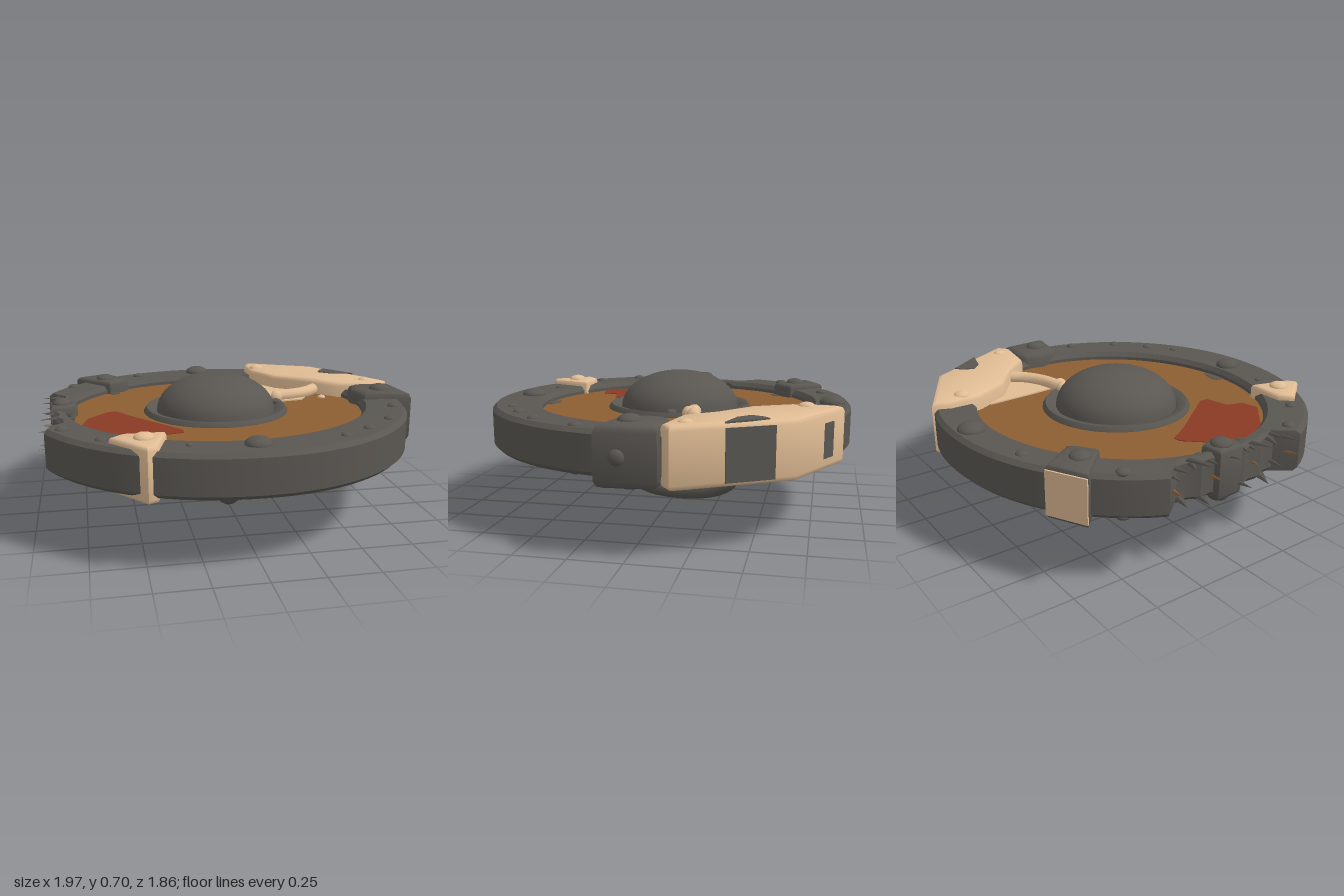
import * as THREE from 'three';
import { toCreasedNormals } from 'three/addons/utils/BufferGeometryUtils.js';

const mat = (name, color) => {
  const m = new THREE.MeshStandardMaterial({ color });
  m.name = name;
  return m;
};

const MID = 0.4425; // height of the shield's middle plane

export function createModel() {
  const iron = mat('dark iron', 0x5a5752);
  const bone = mat('pale bone', 0xe0bc94);
  const wood = mat('brown wood', 0x8c5e33);
  const red = mat('faded red paint', 0x8a3a24);
  const model = new THREE.Group();
  model.name = 'shield';

  const add = (name, geometry, material, x = 0, y = 0, z = 0) => {
    const mesh = new THREE.Mesh(geometry, material);
    mesh.name = name;
    mesh.position.set(x, y, z);
    model.add(mesh);
    return mesh;
  };

  // Extruded outline given as [x, z] points, from height y0 to y1
  const slab = (name, material, points, y0, y1, bevel = 0) => {
    const shape = new THREE.Shape(points.map(([x, z]) => new THREE.Vector2(x, -z)));
    const g = new THREE.ExtrudeGeometry(shape, {
      depth: y1 - y0 - 2 * bevel, bevelEnabled: bevel > 0, bevelSize: bevel,
      bevelThickness: bevel, bevelOffset: -bevel, bevelSegments: 2,
    });
    g.rotateX(-Math.PI / 2);
    return add(name, toCreasedNormals(g, 0.8), material, 0, y0 + bevel, 0);
  };

  // Flattened rivet on both faces of the shield
  const rivet = (name, material, x, z, r, dy) => {
    for (const s of [1, -1]) {
      add(name, new THREE.SphereGeometry(r, 14, 10), material, x, MID + s * dy, z).scale.y = 0.55;
    }
  };

  // Thin painted or laid-on plate on both faces of the board
  const plates = (name, material, points, dy) => {
    for (const s of [1, -1]) {
      const y = MID + s * dy;
      slab(name, material, points, y - 0.004, y + 0.004);
    }
  };

  // Wooden board
  const boardShape = new THREE.CylinderGeometry(1, 1, 0.11, 64);
  add('board', boardShape, wood, -0.04, MID, -0.02).scale.set(0.8, 1, 0.76);

  // Iron rim: cross-sections in a loop, swelling then broken away on the right side
  const N = 96;
  const profile = [[0, 0.37], [0, 0.515], [0.02, 0.54], [-0.02, 0.545], [1, 0.525], [1, 0.36], [-0.02, 0.34], [0.02, 0.342]];
  const P = profile.length, pos = [], idx = [];
  for (let i = 0; i < N; i++) {
    const t = (i / N) * Math.PI * 2, c = Math.cos(t), s = Math.sin(t);
    const R = c < -0.935 ? 0.885 + 0.015 * (i % 2) : 0.928 + 0.085 * Math.max(0, -c) ** 1.5;
    const inner = new THREE.Vector2(-0.05 + 0.77 * c, -0.02 + 0.712 * s);
    const outer = new THREE.Vector2(0.005 + R * c, R * s);
    const dir = outer.clone().sub(inner).normalize();
    for (const [k, y] of profile) {
      const p = k === 1 ? outer : (k < 0 ? outer : inner).clone().addScaledVector(dir, k);
      pos.push(p.x, y, p.y);
    }
    for (let j = 0; j < P; j++) {
      const a = i * P + j, b = i * P + (j + 1) % P;
      const d = ((i + 1) % N) * P + j, e = ((i + 1) % N) * P + (j + 1) % P;
      idx.push(a, d, b, b, d, e);
    }
  }
  const rim = new THREE.BufferGeometry();
  rim.setAttribute('position', new THREE.Float32BufferAttribute(pos, 3));
  rim.setIndex(idx);
  add('rim', toCreasedNormals(rim, 0.5), iron);

  // Flat torn splinters along the broken edge, pointing outward
  const shard = (name, material, tip, y, z, width, turn) => {
    const g = new THREE.ConeGeometry(width, 0.14, 4);
    g.scale(1, 1, 0.35).rotateZ(Math.PI / 2).rotateX(Math.PI / 2);
    g.translate(0.07, 0, 0).rotateY(turn);
    add(name, g, material, tip, y, z);
  };
  for (let i = 0; i < 13; i++) {
    const z = -0.36 + i * 0.058;
    const tip = -0.955 + 0.015 * ((i * 7) % 3);
    const turn = 0.35 * Math.sin(i * 2.3);
    shard('ironSplinter', iron, tip, 0.52 + 0.012 * (i % 2), z, 0.036, turn);
    if (i % 2) shard('lowerSplinter', iron, tip - (i === 7 ? 0.03 : 0), 0.352 + 0.02 * (i % 3), z, 0.036, -turn);
    if (i % 4 === 0) shard('woodSplinter', wood, tip, 0.44, z + 0.02, 0.035, turn);
  }

  // Central boss with flange, closed at the back
  const boss = [[0, 0.372], [0.33, 0.372], [0.36, 0.385], [0.38, 0.41], [0.38, 0.5], [0.365, 0.522], [0.33, 0.515], [0.312, 0.5]];
  for (let i = 1; i <= 12; i++) {
    const a = (i / 12) * Math.PI / 2;
    boss.push([i === 12 ? 0 : 0.31 * Math.cos(a), 0.505 + 0.187 * Math.sin(a)]);
  }
  const bossGeo = new THREE.LatheGeometry(boss.map(([r, y]) => new THREE.Vector2(r, y)), 40);
  add('boss', toCreasedNormals(bossGeo, 0.6), iron, -0.05, 0, -0.032);

  // Grip on the back with worn leather patches
  const path = [[0.38, 0.295], [0.25, 0.295], [0.13, 0.235], [0.06, 0.1], [0.053, -0.18], [0.1, -0.3], [0.21, -0.36], [0.38, -0.355]];
  const grip = new THREE.CatmullRomCurve3(path.map(([y, z]) => new THREE.Vector3(-0.015, y, z)));
  add('grip', new THREE.TubeGeometry(grip, 48, 0.051, 14), iron);
  for (const [z, tilt] of [[0.31, 0.12], [-0.375, -0.12]]) {
    const patch = add('gripPatch', new THREE.SphereGeometry(1, 14, 10), wood, -0.015, 0.235, z);
    patch.scale.set(0.042, 0.1, 0.045);
    patch.rotation.x = tilt;
  }

  // Rivets around the rim
  const rivets = [
    [-0.03, -0.835, 0.068], [-0.4, -0.775, 0.031], [-0.79, -0.525, 0.033], [-0.84, 0.395, 0.033],
    [-0.67, 0.595, 0.028], [-0.3, 0.745, 0.02], [-0.01, 0.785, 0.063], [0.405, 0.73, 0.025],
    [0.55, 0.635, 0.028], [0.71, 0.495, 0.03], [0.83, 0.255, 0.032],
  ];
  for (const [x, z, r] of rivets) rivet('rimRivet', iron, x, z, r, 0.1);

  // Iron clamps over the rim
  slab('leftClamp', iron, [[0.72, -0.13], [0.76, -0.155], [0.97, -0.14], [0.985, 0.13], [0.74, 0.085], [0.7, -0.03]], 0.305, 0.58, 0.035);
  rivet('clampRivet', iron, 0.85, 0.005, 0.055, 0.135);
  add('clampSideRivet', new THREE.SphereGeometry(0.036, 14, 10), iron, 0.98, MID, 0.03).scale.x = 0.6;
  slab('backClamp', iron, [[-0.77, -0.68], [-0.59, -0.775], [-0.475, -0.6], [-0.5, -0.56], [-0.585, -0.5]], 0.315, 0.57, 0.022);
  rivet('clampRivet', iron, -0.61, -0.615, 0.05, 0.125);
  const facing = add('backClampFacing', new THREE.BoxGeometry(0.2, 0.21, 0.009), bone, -0.682, MID, -0.731);
  facing.rotation.y = 0.486;
  slab('rightClamp', iron, [[-0.91, -0.1], [-0.8, -0.11], [-0.77, -0.04], [-0.8, 0.03], [-0.9, 0.04]], 0.32, 0.565, 0.02);
  rivet('clampRivet', iron, -0.845, -0.04, 0.05, 0.122);

  // Small bone clamp
  slab('boneClamp', bone, [[-0.64, 0.655], [-0.58, 0.6], [-0.385, 0.605], [-0.44, 0.815], [-0.49, 0.845]], 0.315, 0.572, 0.02);
  rivet('boneRivet', bone, -0.49, 0.695, 0.048, 0.128);

  // Large bone wrapping the rim, with a dark worn band
  slab('boneGuard', bone, [
    [0.3, -0.89], [0.68, -0.695], [0.82, -0.46], [0.975, -0.19], [0.91, -0.14], [0.68, -0.18],
    [0.565, -0.315], [0.38, -0.455], [0.28, -0.64], [0.27, -0.8],
  ], 0.305, 0.582, 0.025);
  slab('wornPatchTop', iron, [[0.725, -0.575], [0.85, -0.4], [0.72, -0.435], [0.66, -0.49], [0.69, -0.55]], 0.578, 0.586);
  const band = add('wornPatchSide', new THREE.BoxGeometry(0.23, 0.235, 0.009), iron, 0.796, MID, -0.503);
  band.rotation.y = -1.042;
  rivet('boneRivet', bone, 0.33, -0.715, 0.042, 0.134);
  rivet('boneRivet', bone, 0.855, -0.235, 0.035, 0.134);

  // Bone sheet and finger reaching to the boss, on both faces
  plates('boneSheet', bone, [[0.31, -0.57], [0.42, -0.5], [0.56, -0.36], [0.52, -0.24], [0.46, -0.15], [0.34, -0.13], [0.32, -0.35]], 0.058);
  for (const s of [1, -1]) {
    const y = MID + s * 0.08;
    const finger = new THREE.CatmullRomCurve3([
      new THREE.Vector3(0.27, y, -0.165), new THREE.Vector3(0.42, y, -0.195),
      new THREE.Vector3(0.52, y, -0.25), new THREE.Vector3(0.6, y, -0.34),
    ]);
    add('boneFinger', new THREE.TubeGeometry(finger, 16, 0.033, 10), bone);
    for (const [x, z] of [[0.255, -0.165], [0.31, -0.15]]) {
      add('boneKnuckle', new THREE.SphereGeometry(0.036, 12, 8), bone, x, y, z);
    }
  }
  rivet('boneNail', bone, 0.585, -0.18, 0.022, 0.06);
  rivet('flangeRivet', iron, 0.285, -0.055, 0.028, 0.078);

  // Bone chips under the far edge of the boss
  for (const z of [-0.02, 0.03]) {
    add('boneChip', new THREE.SphereGeometry(0.028, 12, 8), bone, -0.42, 0.375, z);
  }

  // Painted patch and scuffs on the board
  plates('redPatch', red, [
    [-0.57, -0.075], [-0.51, 0.03], [-0.275, 0.35], [-0.28, 0.395], [-0.4, 0.42], [-0.425, 0.505],
    [-0.515, 0.525], [-0.7, 0.36], [-0.765, 0.23], [-0.72, 0.05], [-0.61, -0.07],
  ], 0.054);
  plates('scuff', iron, [[-0.08, 0.72], [-0.08, 0.65], [-0.03, 0.64], [0.04, 0.66], [0.04, 0.72]], 0.054);
  plates('scuff', iron, [[-0.6, -0.53], [-0.54, -0.55], [-0.53, -0.5], [-0.57, -0.48]], 0.054);

  return model;
}
